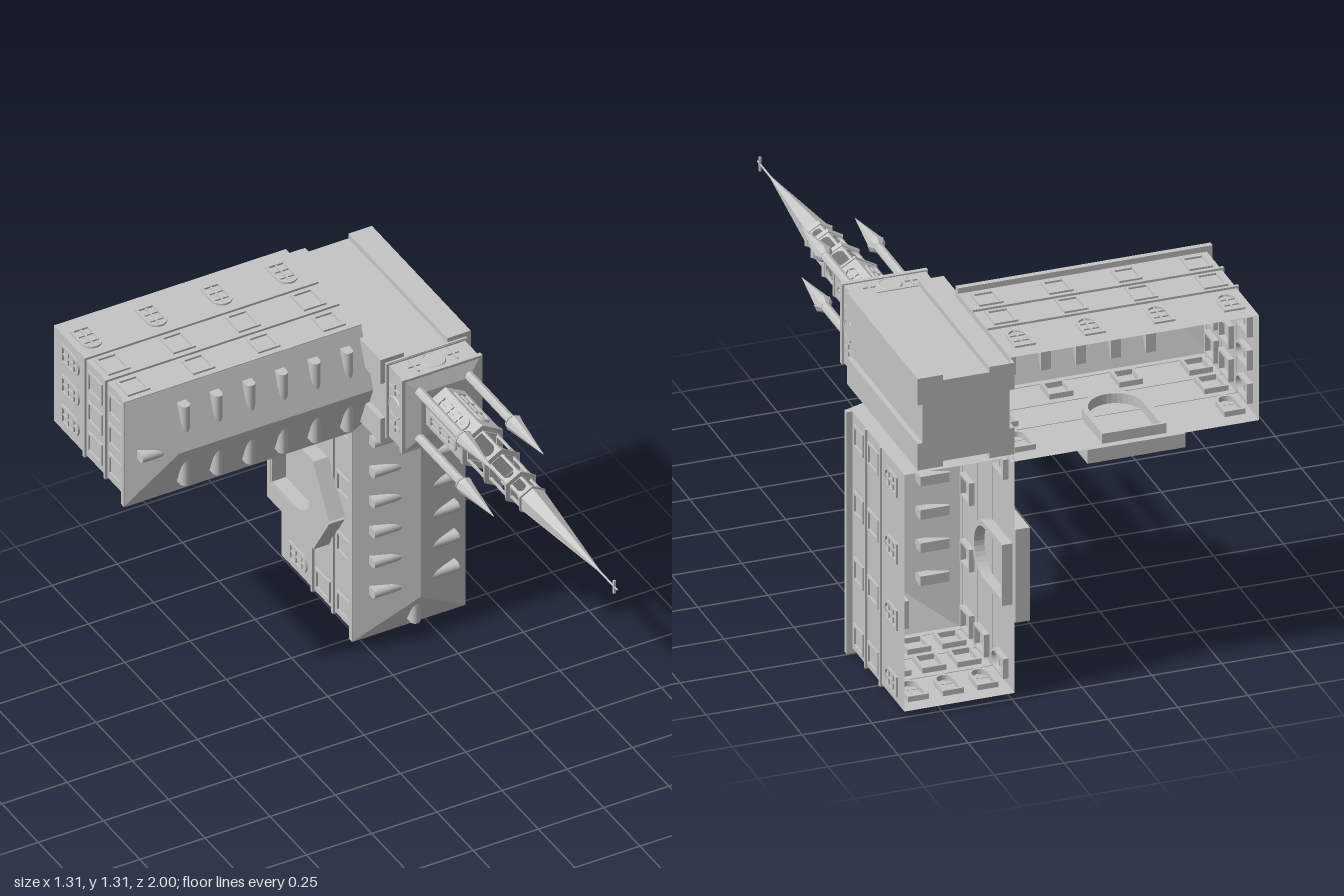
import * as THREE from 'three';

// The building lies on its back: its height runs along +z, its ground plan lies in x and y.
const stone = new THREE.MeshStandardMaterial({ color: 0xc4c4c4, side: THREE.DoubleSide, flatShading: true });
stone.name = 'grey stone';
const GROUND = -1;

function add(parent, name, geo) {
  const m = new THREE.Mesh(geo, stone);
  m.name = name;
  parent.add(m);
  return m;
}

function box(parent, name, x0, x1, y0, y1, z0, z1) {
  const m = add(parent, name, new THREE.BoxGeometry(x1 - x0, y1 - y0, z1 - z0));
  m.position.set((x0 + x1) / 2, (y0 + y1) / 2, (z0 + z1) / 2);
  return m;
}

// Prism or cone standing along z
function column(parent, name, x, y, z0, z1, r0, r1, sides) {
  const g = new THREE.CylinderGeometry(r1, r0, z1 - z0, sides);
  if (sides === 4) g.rotateY(Math.PI / 4);
  g.rotateX(Math.PI / 2);
  const m = add(parent, name, g);
  m.position.set(x, y, (z0 + z1) / 2);
}

// Frame on a wall: x along the wall, y up the building, z outward (angle 0 faces -y)
function wallFrame(parent, name, x, y, z, angle) {
  const f = new THREE.Group();
  f.name = name;
  f.position.set(x, y, z);
  f.rotation.set(Math.PI / 2, 0, angle, 'ZXY');
  parent.add(f);
  return f;
}

function trace(p, x, y, w, h, arched) {
  p.moveTo(x - w / 2, y);
  p.lineTo(x + w / 2, y);
  if (arched) p.absarc(x, y + h - w / 2, w / 2, 0, Math.PI, false);
  else { p.lineTo(x + w / 2, y + h); p.lineTo(x - w / 2, y + h); }
  p.closePath();
  return p;
}

function extrude(shape, depth, z0) {
  return new THREE.ExtrudeGeometry(shape, { depth, bevelEnabled: false, curveSegments: 8 }).translate(0, 0, z0);
}

function windowOn(frame, x, y, w, h, arched) {
  const t = 0.01;
  const s = trace(new THREE.Shape(), x, y, w, h, arched);
  s.holes.push(trace(new THREE.Path(), x, y + t, w - 2 * t, h - 2 * t, arched));
  add(frame, 'windowFrame', extrude(s, 0.027, -0.02));
  if (!arched) return;
  box(frame, 'windowMullion', x - 0.003, x + 0.003, y, y + h - 0.003, -0.002, 0.005);
  for (const k of [0.36, 0.68])
    box(frame, 'windowBar', x - w / 2, x + w / 2, y + h * k - 0.003, y + h * k + 0.003, -0.002, 0.005);
}

function porch(frame) {
  const s = new THREE.Shape();
  [[-0.175, 0], [0.175, 0], [0.175, 0.32], [0, 0.43], [-0.175, 0.32]].forEach(([x, y], i) =>
    i ? s.lineTo(x, y) : s.moveTo(x, y));
  s.closePath();
  s.holes.push(trace(new THREE.Path(), 0, 0.02, 0.21, 0.28, true));
  add(frame, 'porch', extrude(s, 0.052, 0));
  // arch lining that reaches into the hall
  const lining = trace(new THREE.Shape(), 0, 0.02, 0.23, 0.29, true);
  lining.holes.push(trace(new THREE.Path(), 0, 0.03, 0.19, 0.26, true));
  add(frame, 'porchArch', extrude(lining, 0.09, -0.04));
  for (const side of [-1, 1]) {
    const bar = add(frame, 'porchGable', new THREE.BoxGeometry(0.207, 0.02, 0.06));
    bar.position.set(side * 0.0875, 0.378, 0.0305);
    bar.rotation.z = -side * Math.atan2(0.11, 0.175);
  }
}

// Flat ring around the wing, so the underside stays open
function band(parent, name, out, z0, z1) {
  const rect = (p, x0, x1, h) => {
    p.moveTo(x0, -h); p.lineTo(x1, -h); p.lineTo(x1, h); p.lineTo(x0, h); p.closePath();
    return p;
  };
  const s = rect(new THREE.Shape(), 0.022 - out, 0.912, 0.197 + out);
  s.holes.push(rect(new THREE.Path(), 0.024, 0.91, 0.195));
  add(parent, name, extrude(s, z1 - z0, z0));
}

function roof(wing) {
  const L = 0.91, w = 0.2175, e = -0.48, r = -0.395;
  const a = [0, -w, e], b = [0, w, e], c = [L, -w, e], d = [L, w, e], p = [0.165, 0, r], q = [L, 0, r];
  const g = new THREE.BufferGeometry();
  const tris = [b, a, p, a, c, q, a, q, p, b, p, q, b, q, d, c, d, q];
  g.setAttribute('position', new THREE.Float32BufferAttribute(tris.flat(), 3));
  g.computeVertexNormals();
  add(wing, 'hippedRoof', g);
}

function dormer(frame, x) {
  add(frame, 'dormer', extrude(trace(new THREE.Shape(), x, 0, 0.036, 0.05, true), 0.105, -0.105));
}

// Wing in its own frame: length along x from the hipped end, width along y
function wing(name, x, y, turn, courtSide) {
  const g = new THREE.Group();
  g.name = name;
  g.position.set(x, y, 0);
  g.rotation.z = turn;
  const walls = new THREE.BoxGeometry(0.89, 0.394, 0.51);
  walls.setIndex([...walls.index.array].slice(0, 24)); // four sides only
  add(g, 'walls', walls).position.set(0.467, 0, -0.745);
  band(g, 'lowerCornice', 0.008, -0.787, -0.775);
  band(g, 'upperCornice', 0.008, -0.645, -0.632);
  band(g, 'eaves', 0.0205, -0.5, -0.479);
  roof(g);
  for (const side of [-1, 1]) {
    const angle = side < 0 ? 0 : Math.PI;
    const wall = wallFrame(g, 'longWall', 0, side * 0.197, GROUND, angle);
    for (const s of [0.085, 0.335, 0.585, 0.835]) {
      const u = -side * s;
      const besidePorch = side === courtSide && s > 0.3 && s < 0.6;
      if (!besidePorch) windowOn(wall, u, 0.06, 0.075, 0.12, true);
      if (!besidePorch) windowOn(wall, u, 0.24, 0.085, 0.1, false);
      windowOn(wall, u, 0.385, 0.085, 0.09, false);
    }
    if (side === courtSide) porch(wallFrame(g, 'entrance', 0.46, side * 0.2, GROUND, angle));
    const slope = wallFrame(g, 'roofDormers', 0, side * 0.163, -0.468, angle);
    for (let i = 0; i < 6; i++) dormer(slope, -side * (0.21 + i * 0.125));
  }
  const end = wallFrame(g, 'endWall', 0.022, 0, GROUND, -Math.PI / 2);
  for (const u of [-0.125, 0, 0.125]) {
    windowOn(end, u, 0.06, 0.075, 0.12, true);
    windowOn(end, u, 0.24, 0.085, 0.1, false);
    windowOn(end, u, 0.385, 0.085, 0.09, false);
  }
  dormer(wallFrame(g, 'hipDormer', 0.04, 0, -0.468, -Math.PI / 2), 0);
  return g;
}

function tower() {
  const g = new THREE.Group();
  g.name = 'tower';
  g.position.set(0.414, 1.096, 0);
  box(g, 'towerCore', -0.155, 0.155, -0.152, 0.152, GROUND, -0.31);
  for (const sx of [-1, 1]) for (const sy of [-1, 1]) {
    const pier = box(g, 'cornerPier', -0.045, 0.045, -0.05, 0.05, GROUND, -0.32);
    pier.position.x = sx * 0.128;
    pier.position.y = sy * 0.122;
    // pinnacles
    const x = sx * 0.095, y = sy * 0.095;
    column(g, 'pinnacleShaft', x, y, -0.2, 0.1, 0.017, 0.017, 8);
    column(g, 'pinnacleCollar', x, y, 0.09, 0.115, 0.018, 0.033, 8);
    column(g, 'pinnacleCone', x, y, 0.115, 0.32, 0.03, 0.001, 8);
  }
  box(g, 'clockStage', -0.146, 0.146, -0.146, 0.146, -0.32, -0.215);
  box(g, 'stageFoot', -0.155, 0.155, -0.155, 0.155, -0.325, -0.312);
  box(g, 'stageCornice', -0.154, 0.154, -0.151, 0.151, -0.222, -0.205);
  column(g, 'stageRoof', 0, 0, -0.205, -0.185, 0.2, 0.13, 4);
  for (let k = 0; k < 4; k++) {
    const a = k * Math.PI / 2;
    const f = wallFrame(g, 'clockFace', Math.sin(a) * 0.146, -Math.cos(a) * 0.146, -0.267, a);
    add(f, 'clockRing', new THREE.TorusGeometry(0.038, 0.005, 6, 24));
    add(f, 'clockDial', new THREE.CircleGeometry(0.036, 24)).position.z = 0.003;
    for (const u of [-0.075, 0.075]) {
      box(f, 'crossUpright', u - 0.004, u + 0.004, -0.035, 0.035, 0, 0.005);
      box(f, 'crossArm', u - 0.022, u + 0.022, -0.004, 0.004, 0, 0.005);
    }
  }
  // six-sided belfry with tall windows
  const COS = Math.cos(Math.PI / 6);
  column(g, 'belfry', 0, 0, -0.2, 0.07, 0.074 / COS, 0.074 / COS, 6);
  column(g, 'belfryCornice', 0, 0, 0.06, 0.072, 0.078 / COS, 0.078 / COS, 6);
  for (let k = 0; k < 6; k++) {
    const a = k * Math.PI / 3 + Math.PI / 2;
    const f = wallFrame(g, 'belfrySide', Math.sin(a) * 0.074, -Math.cos(a) * 0.074, 0, a);
    windowOn(f, 0, -0.15, 0.055, 0.18, true);
  }
  // open lantern tiers of arched panels
  for (const [z0, z1, a] of [[0.07, 0.2, 0.06], [0.2, 0.33, 0.05], [0.33, 0.41, 0.042]]) {
    const w = 2 * a * Math.tan(Math.PI / 6), h = z1 - z0;
    for (let k = 0; k < 6; k++) {
      const t = k * Math.PI / 3 + Math.PI / 2;
      const s = trace(new THREE.Shape(), 0, 0, w, h, false);
      s.holes.push(trace(new THREE.Path(), 0, 0.008, w - 0.016, h - 0.025, true));
      const f = wallFrame(g, 'lanternSide', Math.sin(t) * a, -Math.cos(t) * a, z0, t);
      add(f, 'lanternArch', extrude(s, 0.008, -0.008));
    }
    column(g, 'lanternCornice', 0, 0, z1 - 0.008, z1 + 0.006, (a + 0.003) / COS, (a + 0.008) / COS, 6);
  }
  column(g, 'spire', 0, 0, 0.415, 0.87, 0.05, 0.004, 6);
  column(g, 'spireRod', 0, 0, 0.86, 1, 0.004, 0.003, 6);
  box(g, 'spireCrossArm', -0.004, 0.004, -0.026, 0.026, 0.974, 0.982);
  return g;
}

export function createModel() {
  const model = new THREE.Group();
  model.name = 'corner building with spire';
  model.add(wing('sideWing', -0.655, 1.0925, 0, -1));
  model.add(wing('lowerWing', 0.4375, 0.003, Math.PI / 2, 1));
  model.add(tower());
  return model;
}
